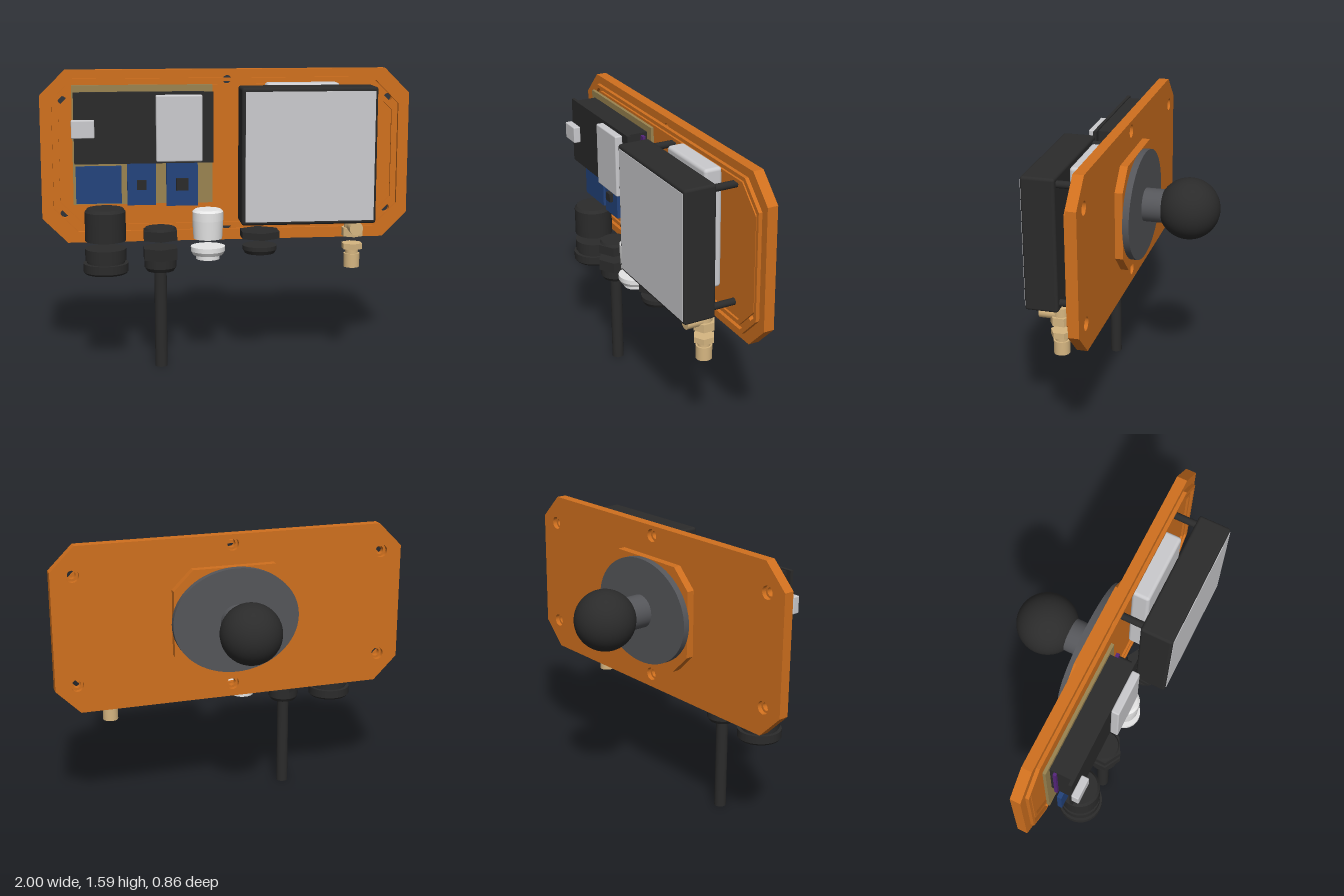
import * as THREE from 'three';
import { RoundedBoxGeometry } from 'three/addons/geometries/RoundedBoxGeometry.js';

const mat = (name, color) => Object.assign(new THREE.MeshStandardMaterial({ color }), { name });

export function createModel() {
  const orange = mat('orange plastic', 0xd0701e);
  const black = mat('black plastic', 0x2b2b2b);
  const grey = mat('mount grey', 0x55565a);
  const silver = mat('light grey', 0xcbcbce);
  const white = mat('white plastic', 0xe6e6e6);
  const tan = mat('tan board', 0x9a8350);
  const blue = mat('blue board', 0x23437c);
  const purple = mat('purple board', 0x56267a);
  const brass = mat('brass', 0xd6b681);

  const model = new THREE.Group();
  model.name = 'mountedDeviceLid';
  const CY = 1.125;

  const add = (name, geo, material, x = 0, y = 0, z = 0) => {
    const m = new THREE.Mesh(geo, material);
    m.name = name;
    m.position.set(x, y, z);
    model.add(m);
    return m;
  };
  // Box given by its limits, optionally rounded
  const box = (name, material, x0, x1, y0, y1, z0, z1, r = 0) => {
    const s = [x1 - x0, y1 - y0, z1 - z0];
    const geo = r ? new RoundedBoxGeometry(...s, 3, r) : new THREE.BoxGeometry(...s);
    return add(name, geo, material, (x0 + x1) / 2, (y0 + y1) / 2, (z0 + z1) / 2);
  };
  // Outline of a rectangle with cut corners
  const octagon = (w, h, c, Type = THREE.Shape) => new Type([
    [w - c, -h], [w, c - h], [w, h - c], [w - c, h], [c - w, h], [-w, h - c], [-w, c - h], [c - w, -h],
  ].map(p => new THREE.Vector2(...p)));
  const slab = (name, shape, z0, z1) => add(name, new THREE.ExtrudeGeometry(shape,
    { depth: z1 - z0, bevelEnabled: false, curveSegments: 24 }), orange, 0, CY, z0);

  // Lid plate, with wider screw holes on the back
  const screws = [[0, 0.41], [0, -0.39]];
  for (const sx of [-1, 1]) for (const sy of [-1, 1]) screws.push([sx * 0.88, sy * 0.305]);
  for (const [name, z0, z1, r] of [['lidBack', 0.063, 0.088, 0.036], ['lidFront', 0.088, 0.12, 0.023]]) {
    const shape = octagon(1, 0.465, 0.135);
    for (const [x, y] of screws) shape.holes.push(new THREE.Path().absarc(x, y, r, 0, Math.PI * 2, true));
    slab(name, shape, z0, z1);
  }
  // Sealing ridges
  for (const [inset, z] of [[0.045, 0.14], [0.08, 0.132]]) {
    const ring = octagon(1 - inset, 0.465 - inset, 0.13);
    const t = inset + 0.018;
    ring.holes.push(octagon(1 - t, 0.465 - t, 0.128, THREE.Path));
    slab('sealRidge', ring, 0.12, z);
  }

  // Ball mount on the back
  slab('mountPad', octagon(0.345, 0.295, 0.11), 0.02, 0.063);
  const disc = add('mountDisc', new THREE.CylinderGeometry(1, 1, 0.035, 64), grey, 0, CY, 0.0025);
  disc.rotation.x = Math.PI / 2;
  disc.scale.set(0.36, 1, 0.295);
  add('mountStem', new THREE.CylinderGeometry(0.092, 0.092, 0.14, 32), grey, 0, CY, -0.08).rotation.x = Math.PI / 2;
  add('mountBall', new THREE.SphereGeometry(0.168, 40, 28), black, 0, CY, -0.26);

  // Display, its posts and the battery behind it
  box('displayCase', black, 0.043, 0.757, 0.792, 1.513, 0.25, 0.427, 0.015);
  box('screen', silver, 0.062, 0.743, 0.811, 1.492, 0.422, 0.43);
  for (const x of [0.085, 0.715]) for (const y of [0.835, 1.475]) {
    add('displayPost', new THREE.CylinderGeometry(0.019, 0.019, 0.135, 16), black, x, y, 0.187).rotation.x = Math.PI / 2;
  }
  box('battery', silver, 0.2, 0.595, 0.865, 1.52, 0.125, 0.225, 0.018);

  // Stacked circuit boards
  box('baseBoard', tan, -0.83, -0.085, 0.877, 1.513, 0.153, 0.17);
  box('middleBoard', purple, -0.805, -0.102, 1.13, 1.465, 0.193, 0.21);
  box('boardBody', black, -0.79, -0.13, 1.13, 1.478, 0.17, 0.286);
  box('topBoard', black, -0.82, -0.093, 1.113, 1.485, 0.286, 0.304);
  box('radioModule', silver, -0.395, -0.153, 1.125, 1.472, 0.304, 0.348, 0.008);
  box('usbSocket', silver, -0.833, -0.713, 1.252, 1.346, 0.304, 0.345, 0.006);
  for (const [x0, x1, y0, y1, chip] of [
    [-0.815, -0.575, 0.892, 1.09, 0], [-0.545, -0.393, 0.88, 1.103, 0.05], [-0.337, -0.17, 0.873, 1.108, 0.065],
  ]) {
    const cx = (x0 + x1) / 2, h = chip / 2;
    box('sensorBoard', blue, x0, x1, y0, y1, 0.21, 0.235);
    box('sensorSpacer', black, cx - 0.05, cx + 0.05, 0.94, 1.04, 0.17, 0.21);
    if (chip) box('sensorChip', black, cx - h, cx + h, 0.99 - h, 0.99 + h, 0.235, 0.256);
  }

  // Bottom connectors: rows of [y0, y1, lower radius, upper radius, sides]
  const connector = (name, material, x, rows) => {
    for (const [y0, y1, r0, r1, sides = 32] of rows) {
      const geo = new THREE.CylinderGeometry(r1, r0, y1 - y0, sides);
      if (sides === 6) {
        const flat = geo.toNonIndexed();
        flat.computeVertexNormals();
        add(name, flat, material, x, (y0 + y1) / 2, 0.264);
      } else add(name, geo, material, x, (y0 + y1) / 2, 0.264);
    }
  };
  connector('powerSocket', black, -0.665, [
    [0.7, 0.855, 0.108, 0.108], [0.855, 0.872, 0.108, 0.095],
    [0.595, 0.657, 0.109, 0.109], [0.58, 0.595, 0.1, 0.1], [0.535, 0.58, 0.12, 0.12], [0.525, 0.535, 0.112, 0.12],
  ]);
  connector('cableGland', black, -0.375, [
    [0.7, 0.752, 0.101, 0.101, 6], [0.752, 0.765, 0.085, 0.078],
    [0.595, 0.657, 0.101, 0.101, 6], [0.55, 0.595, 0.085, 0.085], [0.53, 0.55, 0.072, 0.085],
  ]);
  connector('cable', black, -0.375, [[0, 0.54, 0.033, 0.033]]);
  connector('ventPlug', white, -0.12, [
    [0.7, 0.8, 0.077, 0.083], [0.8, 0.845, 0.083, 0.083], [0.845, 0.857, 0.083, 0.07],
    [0.632, 0.657, 0.092, 0.092], [0.612, 0.632, 0.08, 0.092], [0.588, 0.612, 0.064, 0.064],
  ]);
  connector('blankingPlug', black, 0.16, [
    [0.7, 0.737, 0.115, 0.115, 6], [0.635, 0.657, 0.092, 0.092], [0.615, 0.635, 0.08, 0.092],
  ]);
  connector('antennaSocket', brass, 0.665, [
    [0.735, 0.79, 0.042, 0.042], [0.697, 0.743, 0.06, 0.06, 6],
    [0.625, 0.657, 0.058, 0.058, 6], [0.6, 0.625, 0.034, 0.034], [0.525, 0.6, 0.043, 0.043],
  ]);
  add('antennaElbow', new THREE.CylinderGeometry(0.036, 0.036, 0.11, 24), brass, 0.665, 0.754, 0.32).rotation.x = Math.PI / 2;

  return model;
}
